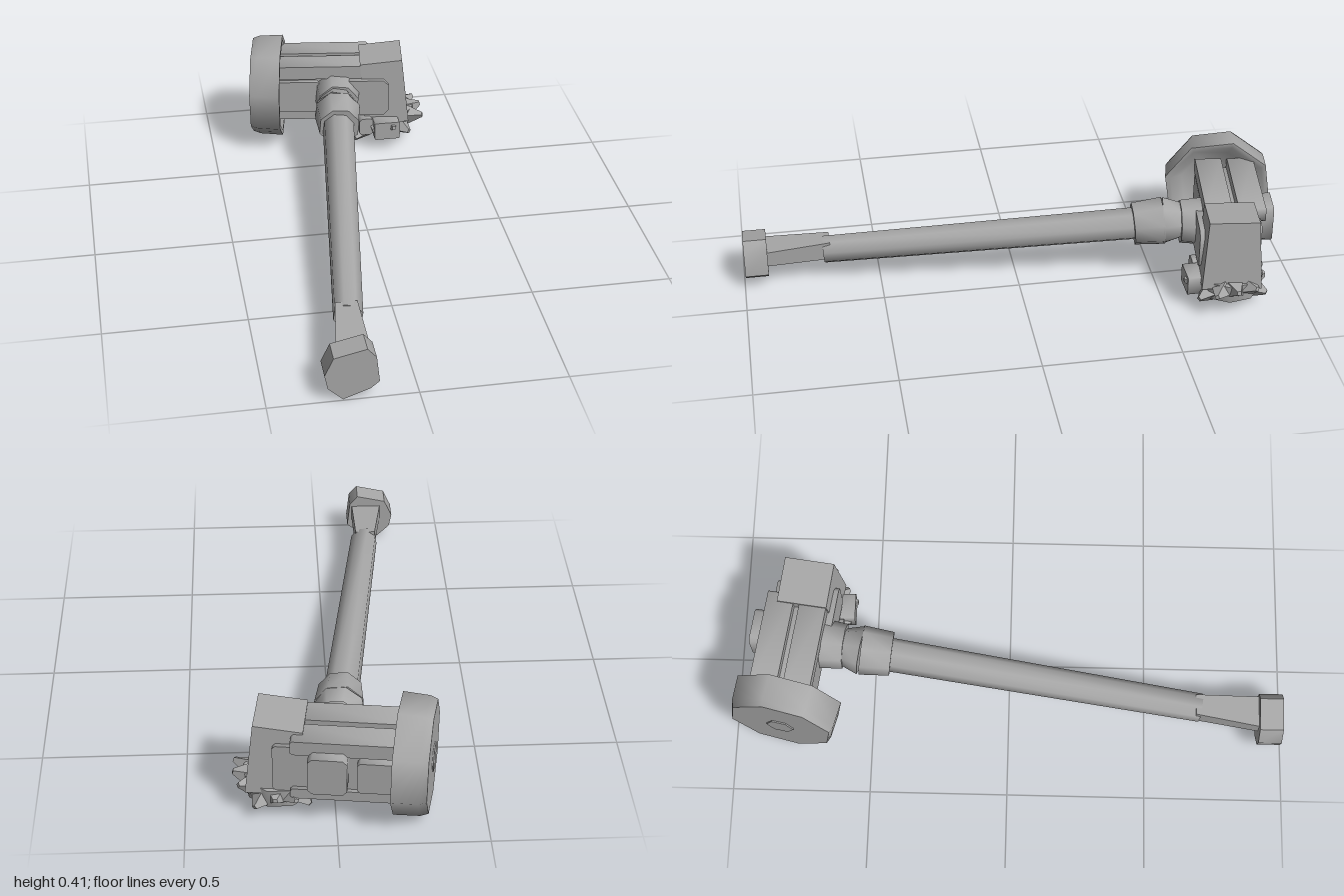
import * as THREE from 'three';
import { toCreasedNormals } from 'three/addons/utils/BufferGeometryUtils.js';

const steel = new THREE.MeshStandardMaterial({ color: 0xa8a8a8, side: THREE.DoubleSide });
steel.name = 'grey steel';

// Smooth over shallow edges, sharp over steep ones.
function part(name, geometry, parent) {
  const mesh = new THREE.Mesh(toCreasedNormals(geometry, 0.9), steel);
  mesh.name = name;
  parent.add(mesh);
  return mesh;
}

// Prism running from one point to another, with its own end radii.
function rod(name, from, to, r0, r1, sides, parent) {
  const a = new THREE.Vector3(...from), b = new THREE.Vector3(...to);
  const dir = b.clone().sub(a);
  const g = new THREE.CylinderGeometry(r1, r0, dir.length(), sides);
  g.rotateY(Math.PI / sides);
  const mesh = part(name, g, parent);
  mesh.position.copy(a).add(b).multiplyScalar(0.5);
  mesh.quaternion.setFromUnitVectors(new THREE.Vector3(0, 1, 0), dir.normalize());
  return mesh;
}

// Prism along z from an outline.
function slab(name, points, z0, z1, parent) {
  const shape = new THREE.Shape(points.map(([x, y]) => new THREE.Vector2(x, y)));
  const mesh = part(name, new THREE.ExtrudeGeometry(shape, { depth: z1 - z0, bevelEnabled: false }), parent);
  mesh.position.z = z0;
  return mesh;
}

// Box given by its limits, with the corners of its front outline cut off.
function block(name, [x0, x1], [y0, y1], [z0, z1], b, parent) {
  return slab(name, [[x0 + b, y0], [x1 - b, y0], [x1, y0 + b], [x1, y1 - b],
    [x1 - b, y1], [x0 + b, y1], [x0, y1 - b], [x0, y0 + b]], z0, z1, parent);
}

// Box whose corners are moved by a rule.
function shapedBox(name, rule, parent) {
  const g = new THREE.BoxGeometry(1, 1, 1);
  const p = g.attributes.position;
  for (let i = 0; i < p.count; i++) p.setXYZ(i, ...rule(p.getX(i), p.getY(i), p.getZ(i)));
  return part(name, g, parent);
}

// Ring profile turned around y.
function turned(points, sides) {
  return new THREE.LatheGeometry(points.map(([r, y]) => new THREE.Vector2(r, y)), sides);
}

export function createModel() {
  const model = new THREE.Group();
  model.name = 'warHammer';

  // Shaft, grip end and collar
  rod('shaft', [-0.185, 0.115, 0.7], [-0.03, 0.21, -0.5], 0.052, 0.062, 8, model);
  shapedBox('gripEnd', (x, y, z) => (z > 0
    ? [-0.205 + x * 0.115, 0.115 + y * 0.058, 0.92]
    : [-0.188 + x * 0.075, 0.128 + y * 0.07, 0.68]), model);
  rod('collar', [-0.035, 0.205, -0.43], [-0.026, 0.214, -0.54], 0.08, 0.09, 8, model);
  rod('collarTop', [-0.026, 0.214, -0.54], [-0.015, 0.217, -0.605], 0.09, 0.068, 8, model);
  rod('neck', [-0.012, 0.212, -0.6], [0.002, 0.212, -0.73], 0.082, 0.095, 8, model);

  // Pommel
  slab('pommel', [[-0.31, 0.1], [-0.3, 0.05], [-0.25, 0.002], [-0.16, 0.035], [-0.13, 0.06],
    [-0.14, 0.155], [-0.17, 0.19], [-0.28, 0.165]], 0.91, 0.995, model);

  // Head, turned to sit square on the shaft
  const head = new THREE.Group();
  head.name = 'head';
  head.position.z = -0.79;
  head.rotation.y = -0.13;
  model.add(head);
  block('core', [-0.23, 0.2], [0.12, 0.3], [-0.085, 0.09], 0.01, head);
  for (const z of [-0.06, 0.06]) {
    block('upperBar', [-0.23, 0.14], [0.285, 0.338], [z - 0.045, z + 0.053], 0.008, head);
    block('lowerBar', [-0.23, 0.14], [0.102, 0.14], [z - 0.04, z + 0.04], 0.008, head);
  }
  block('frontBlock', [0, 0.212], [0.135, 0.285], [0.06, 0.138], 0.02, head);
  block('frontLeftPlate', [-0.23, -0.06], [0.14, 0.27], [0.06, 0.11], 0.01, head);
  block('rearBlock', [-0.05, 0.08], [0.16, 0.3], [-0.145, -0.06], 0.015, head);
  block('rearSidePlate', [-0.21, -0.08], [0.15, 0.27], [-0.115, -0.06], 0.01, head);

  // Tapered striking block
  shapedBox('strikingBlock', (x, y, z) => (y > 0
    ? [x > 0 ? 0.265 : 0.1, x > 0 ? 0.362 : 0.345, 0.025 + z * 0.18]
    : [x > 0 ? 0.292 : 0.12, 0.1, 0.025 + z * 0.215]), head);

  // Octagonal rear disc with a dished inner side and a six-sided boss
  const disc = new THREE.Group();
  disc.name = 'rearDisc';
  disc.position.set(-0.265, 0.215, -0.805);
  disc.rotation.y = -0.2;
  model.add(disc);
  const discGeometry = turned([[0, -0.057], [0.19, -0.057], [0.2, -0.03], [0.205, 0.06],
    [0.185, 0.06], [0.14, 0.02], [0, 0.02]], 8);
  discGeometry.rotateY(Math.PI / 8 + 0.15);
  discGeometry.rotateZ(-Math.PI / 2);
  part('discBody', discGeometry, disc);
  const boss = new THREE.CylinderGeometry(0.05, 0.05, 0.008, 6);
  boss.rotateZ(Math.PI / 2);
  part('discBoss', boss, disc).position.x = -0.058;

  // Jagged, hollow crown beneath the striking block
  const crown = new THREE.Group();
  crown.name = 'spikedCrown';
  crown.position.set(0.185, 0.08, -0.74);
  model.add(crown);
  part('crownBowl', turned([[0, 0], [0.06, -0.01], [0.095, -0.04], [0.118, -0.03], [0.125, 0.04], [0, 0.045]], 9), crown);
  const spikes = 13;
  for (let i = 0; i < spikes; i++) {
    const a = (i / spikes) * Math.PI * 2;
    const c = Math.cos(a), s = Math.sin(a);
    const lift = [0.02, 0.01, -0.03][i % 3] + 0.015 * c;
    const reach = 0.155 + 0.015 * (i % 2) + (s < -0.5 ? -0.02 : 0);
    rod('crownSpike', [c * 0.095, lift * 0.5, s * 0.095], [c * reach, lift, s * reach], 0.044, 0.01, 4, crown);
  }
  block('crownFrontPlate', [-0.055, 0.045], [-0.03, 0.042], [0.09, 0.16], 0.004, crown);
  block('crownSidePlate', [-0.11, -0.055], [-0.025, 0.045], [0.05, 0.12], 0.01, crown);
  block('crownLowerLug', [-0.045, 0.042], [-0.07, 0], [-0.05, 0.03], 0.006, crown);

  return model;
}
